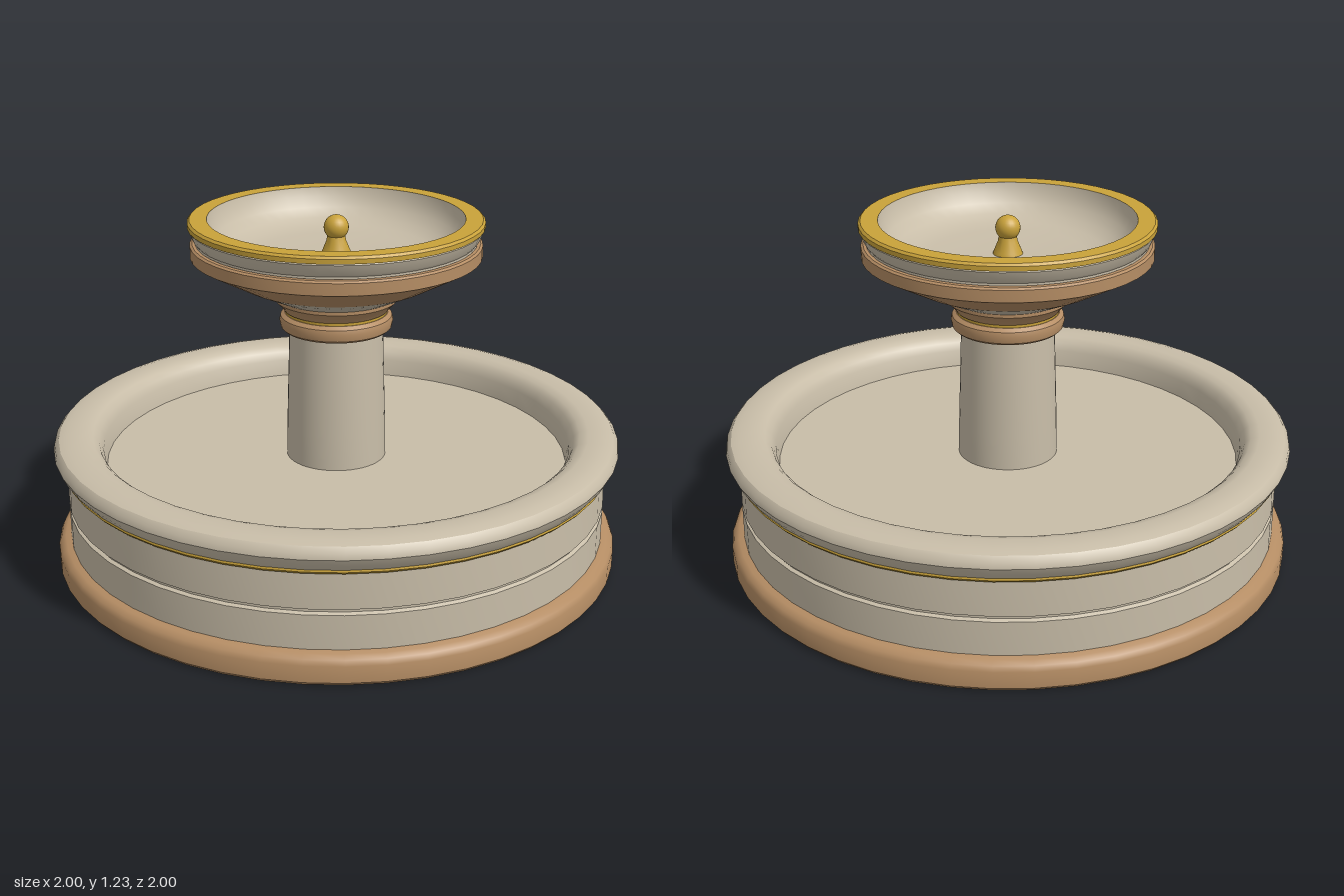
import * as THREE from 'three';
import { toCreasedNormals } from 'three/addons/utils/BufferGeometryUtils.js';

export function createModel() {
  const fountain = new THREE.Group();
  fountain.name = 'fountain';

  const material = (name, color) => {
    const m = new THREE.MeshStandardMaterial({ color });
    m.name = name;
    return m;
  };
  const stone = material('pale stone', 0xc8bda8);
  const clay = material('brown stone', 0xb58d64);
  const gold = material('gold', 0xc9a23a);

  // Turned part: [radius, height] points, outside from bottom to top, then inside downwards
  const turned = (name, mat, profile, parent = fountain, segments = 48) => {
    const points = profile.map(([r, y]) => new THREE.Vector2(r, y));
    const geometry = toCreasedNormals(new THREE.LatheGeometry(points, segments), 0.55);
    const mesh = new THREE.Mesh(geometry, mat);
    mesh.name = name;
    parent.add(mesh);
    return mesh;
  };

  // Lower basin
  const basin = new THREE.Group();
  basin.name = 'basin';
  fountain.add(basin);
  turned('basePlinth', clay, [
    [0, 0], [0.99, 0], [1, 0.012], [1, 0.07], [0.992, 0.088], [0.975, 0.1], [0.94, 0.105],
  ], basin);
  turned('basinWall', stone, [
    [0.955, 0.095], [0.955, 0.222], [0.943, 0.228], [0.943, 0.236], [0.955, 0.242], [0.952, 0.37],
  ], basin);
  turned('basinGoldBand', gold, [
    [0.945, 0.364], [0.96, 0.366], [0.968, 0.375], [0.965, 0.386], [0.945, 0.388],
  ], basin);
  turned('basinRim', stone, [
    [0.94, 0.383], [0.968, 0.383], [0.985, 0.405], [0.997, 0.43], [0.993, 0.45], [0.978, 0.467],
    [0.95, 0.475], [0.89, 0.475], [0.86, 0.468], [0.84, 0.45], [0.825, 0.42], [0.815, 0.355],
  ], basin);
  turned('basinFloor', stone, [[0.82, 0.358], [0, 0.358]], basin);

  // Central column
  turned('column', stone, [[0.176, 0.355], [0.174, 0.48], [0.163, 0.84]]);
  turned('collar', clay, [
    [0.15, 0.83], [0.184, 0.83], [0.193, 0.838], [0.198, 0.862], [0.194, 0.878], [0.18, 0.889], [0.15, 0.89],
  ]);
  turned('collarGoldRing', gold, [[0.16, 0.886], [0.178, 0.888], [0.178, 0.9], [0.16, 0.901]]);
  turned('columnCapital', clay, [[0.165, 0.897], [0.182, 0.9], [0.195, 0.918], [0.215, 0.938], [0.215, 0.95], [0.18, 0.952]]);

  // Upper bowl
  const bowl = new THREE.Group();
  bowl.name = 'upperBowl';
  fountain.add(bowl);
  turned('bowlFoot', stone, [[0.15, 0.948], [0.215, 0.95], [0.34, 1.008]], bowl);
  turned('bowlUnderside', clay, [
    [0.34, 1.008], [0.5, 1.095], [0.5, 1.136], [0.492, 1.142], [0.46, 1.143],
  ], bowl);
  turned('bowlSide', stone, [
    [0.46, 1.142], [0.482, 1.144], [0.482, 1.152], [0.49, 1.162], [0.503, 1.195], [0.5, 1.202],
  ], bowl);
  turned('bowlGoldRim', gold, [
    [0.49, 1.198], [0.507, 1.2], [0.507, 1.216], [0.499, 1.224], [0.44, 1.224],
  ], bowl);
  turned('bowlInside', stone, [
    [0.44, 1.224], [0.432, 1.19], [0.41, 1.155], [0.375, 1.125], [0.33, 1.106], [0.27, 1.098], [0, 1.095],
  ], bowl);

  // Finial standing in the bowl
  turned('finialStem', gold, [
    [0.052, 1.094], [0.048, 1.106], [0.034, 1.14], [0.029, 1.165],
  ], bowl, 24);
  const ball = new THREE.Mesh(new THREE.SphereGeometry(0.043, 24, 16), gold);
  ball.name = 'finialBall';
  ball.position.y = 1.187;
  bowl.add(ball);

  return fountain;
}
